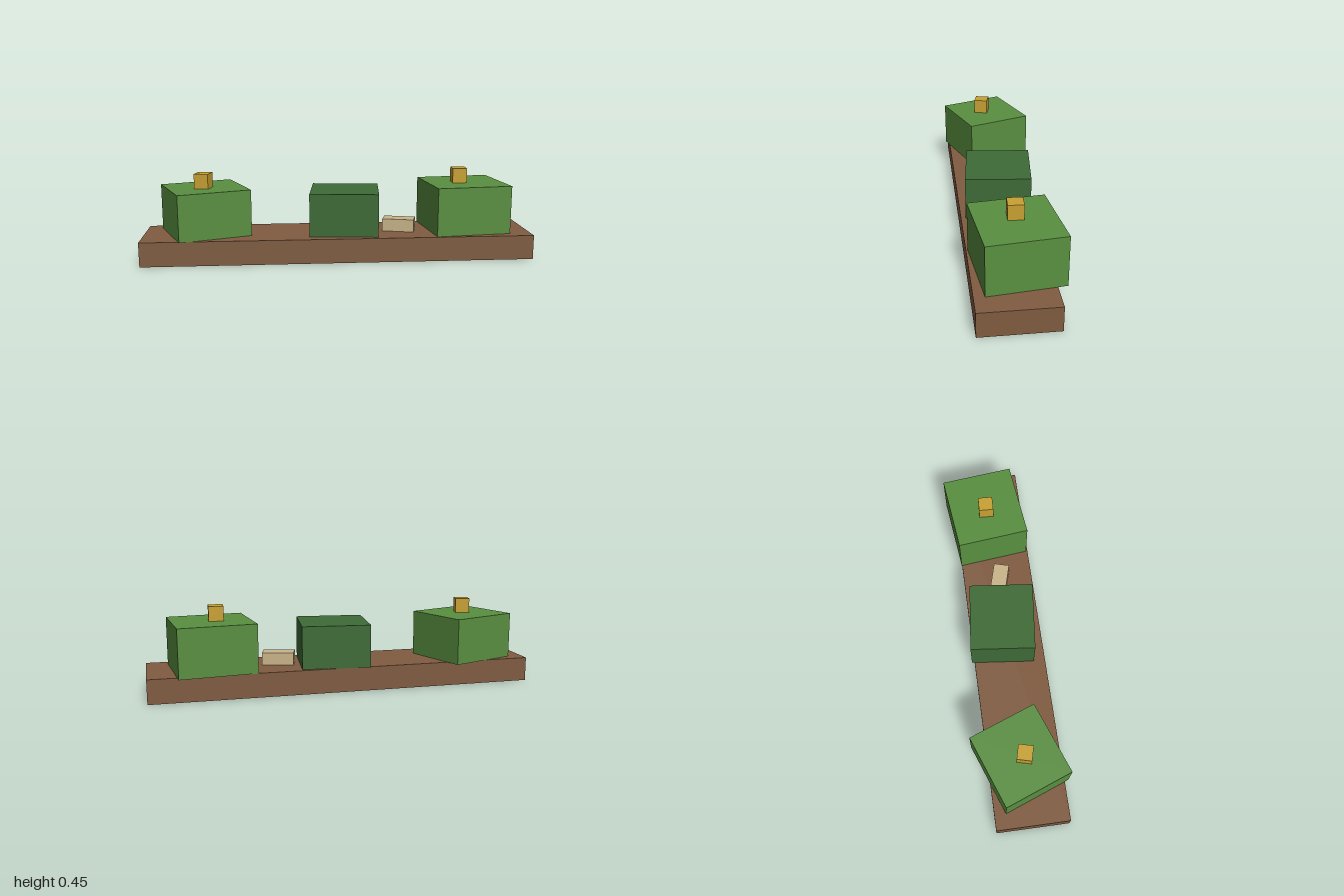
import * as THREE from 'three';

// Box standing on y = 0 with no bottom face
function openBox(w, h, d) {
  const g = new THREE.BoxGeometry(w, h, d);
  const index = Array.from(g.index.array);
  index.splice(18, 6); // the -y face
  g.setIndex(index);
  g.clearGroups();
  return g.translate(0, h / 2, 0);
}

export function createModel() {
  const mat = (name, color) => new THREE.MeshStandardMaterial({ name, color, side: THREE.DoubleSide });
  const soil = mat('soil brown', 0x805c41);
  const leaf = mat('leaf green', 0x598f40);
  const darkLeaf = mat('dark green', 0x3f6b37);
  const gold = mat('gold', 0xc9a233);
  const sand = mat('sand', 0xcab58a);

  const model = new THREE.Group();
  model.name = 'planterRow';
  const add = (name, material, [w, h, d], [x, y, z], turn = 0) => {
    const mesh = new THREE.Mesh(openBox(w, h, d), material);
    mesh.name = name;
    mesh.position.set(x, y, z);
    mesh.rotation.y = turn;
    model.add(mesh);
  };

  // Long bed, hollow underneath
  const top = 0.125;
  add('bed', soil, [2, top, 0.375], [0, 0, 0.027]);

  // Bushes, each turned a little
  add('rightBush', leaf, [0.378, 0.238, 0.358], [-0.684, top, 0], 0.358);
  add('middleBush', darkLeaf, [0.352, 0.22, 0.33], [0.041, top, 0.008], -0.105);
  add('leftBush', leaf, [0.393, 0.249, 0.372], [0.674, top, 0], 0.11);

  // Blossoms on the outer bushes
  add('rightBlossom', gold, [0.074, 0.076, 0.074], [-0.69, 0.363, 0.02], -0.25);
  add('leftBlossom', gold, [0.075, 0.075, 0.075], [0.647, 0.374, 0.002], -0.04);

  // Flat stone between the bushes
  add('stone', sand, [0.164, 0.065, 0.083], [0.326, top, 0.033], -0.27);

  return model;
}
